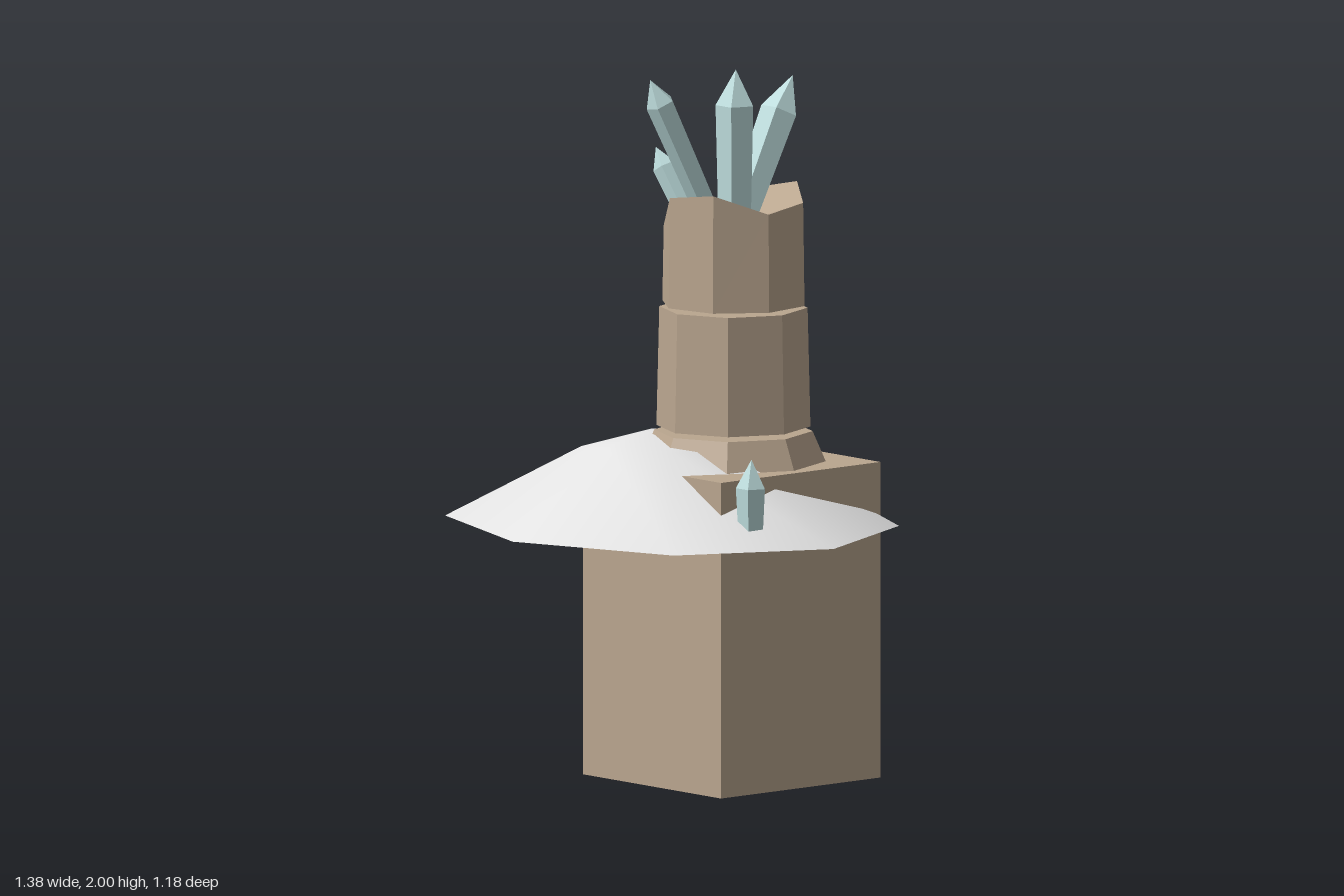
import * as THREE from 'three';

function colour(name, hex, flat = true) {
  const m = new THREE.MeshStandardMaterial({ color: hex, flatShading: flat, side: THREE.DoubleSide });
  m.name = name;
  return m;
}

export function createModel() {
  const model = new THREE.Group();
  const stone = colour('tan stone', 0xbaa68f);
  const snow = colour('pale mound', 0xe2e2e2, false);
  const ice = colour('pale blue crystal', 0xbddcdc);

  function add(name, geometry, material, x = 0, y = 0, z = 0) {
    const mesh = new THREE.Mesh(geometry, material);
    mesh.name = name;
    mesh.position.set(x, y, z);
    model.add(mesh);
    return mesh;
  }

  // Square plinth, open underneath
  const plinth = new THREE.BoxGeometry(0.59, 0.893, 0.59);
  const index = Array.from(plinth.index.array);
  index.splice(18, 6);
  plinth.clearGroups();
  plinth.setIndex(index);
  add('plinth', plinth, stone, 0.145, 0.4465, -0.095);

  // Mound: an uneven eight-sided dome with an open underside
  const shoulder = [0.945, 0.945, 0.947, 0.92, 0.89, 0.885, 0.895, 0.92];
  const rings = [
    { s: 0.13, y: () => 0.965 },
    { s: 0.4, y: (k) => shoulder[k] },
    { s: 1, y: () => 0.715 },
  ];
  const pos = [0, 0.97, 0];
  const faces = [];
  rings.forEach(({ s, y }, r) => {
    for (let k = 0; k < 8; k++) {
      const a = (k * Math.PI) / 4;
      pos.push(0.69 * s * Math.sin(a), y(k), 0.59 * s * Math.cos(a));
      const n = (k + 1) % 8;
      const outer = 1 + r * 8;
      const inner = outer - 8;
      if (r === 0) faces.push(0, outer + k, outer + n);
      else faces.push(inner + k, outer + k, outer + n, inner + k, outer + n, inner + n);
    }
  });
  const mound = new THREE.BufferGeometry();
  mound.setAttribute('position', new THREE.Float32BufferAttribute(pos, 3));
  mound.setIndex(faces);
  mound.computeVertexNormals();
  add('mound', mound, snow);

  // Octagonal column, in three pieces with thin gaps between them
  function drum(name, rTop, rBottom, y0, y1, turn = 0) {
    const g = new THREE.CylinderGeometry(rTop, rBottom, y1 - y0, 8, 1, false, turn);
    g.translate(0, (y0 + y1) / 2, 0);
    return add(name, g, stone, 0.147, 0, -0.1);
  }
  drum('columnFoot', 0.222, 0.26, 0.89, 0.978);
  drum('lowerDrum', 0.208, 0.216, 0.991, 1.327);

  // Broken upper drum: uneven rim and a hollow top
  const turn = THREE.MathUtils.degToRad(-12);
  const upper = drum('upperDrum', 0.203, 0.207, 1.338, 1.65, turn).geometry;
  const rim = [1.65, 1.67, 1.615, 1.63, 1.668, 1.635, 1.595, 1.55];
  const p = upper.attributes.position;
  for (let i = 0; i < p.count; i++) {
    if (p.getY(i) < 1.5) continue;
    const x = p.getX(i), z = p.getZ(i);
    const k = Math.round((Math.atan2(x, z) - turn) / (Math.PI / 4));
    p.setY(i, Math.hypot(x, z) < 0.01 ? 1.56 : rim[(k + 8) % 8]);
  }
  upper.computeVertexNormals();

  // Five-sided crystals, given by base point, tip point, radius and tip length
  function crystal(name, base, tip, radius, point) {
    const from = new THREE.Vector3(...base);
    const dir = new THREE.Vector3(...tip).sub(from);
    const length = dir.length();
    const profile = [[0, 0], [radius * 0.85, 0], [radius, length - point], [0, length]]
      .map(([x, y]) => new THREE.Vector2(x, y));
    const mesh = add(name, new THREE.LatheGeometry(profile, 5, Math.PI), ice, ...base);
    mesh.quaternion.setFromUnitVectors(new THREE.Vector3(0, 1, 0), dir.normalize());
  }
  crystal('centreCrystal', [0.157, 1.54, -0.1], [0.157, 2, -0.1], 0.057, 0.1);
  crystal('frontCrystal', [0.128, 1.55, -0.05], [0.065, 1.983, 0.137], 0.042, 0.075);
  crystal('backCrystal', [0.155, 1.55, -0.11], [0.152, 1.962, -0.315], 0.055, 0.11);
  crystal('sideCrystal', [0.045, 1.53, -0.05], [-0.083, 1.762, -0.012], 0.035, 0.06);
  crystal('moundCrystal', [0.501, 0.757, 0.14], [0.501, 0.96, 0.14], 0.044, 0.08);

  return model;
}
